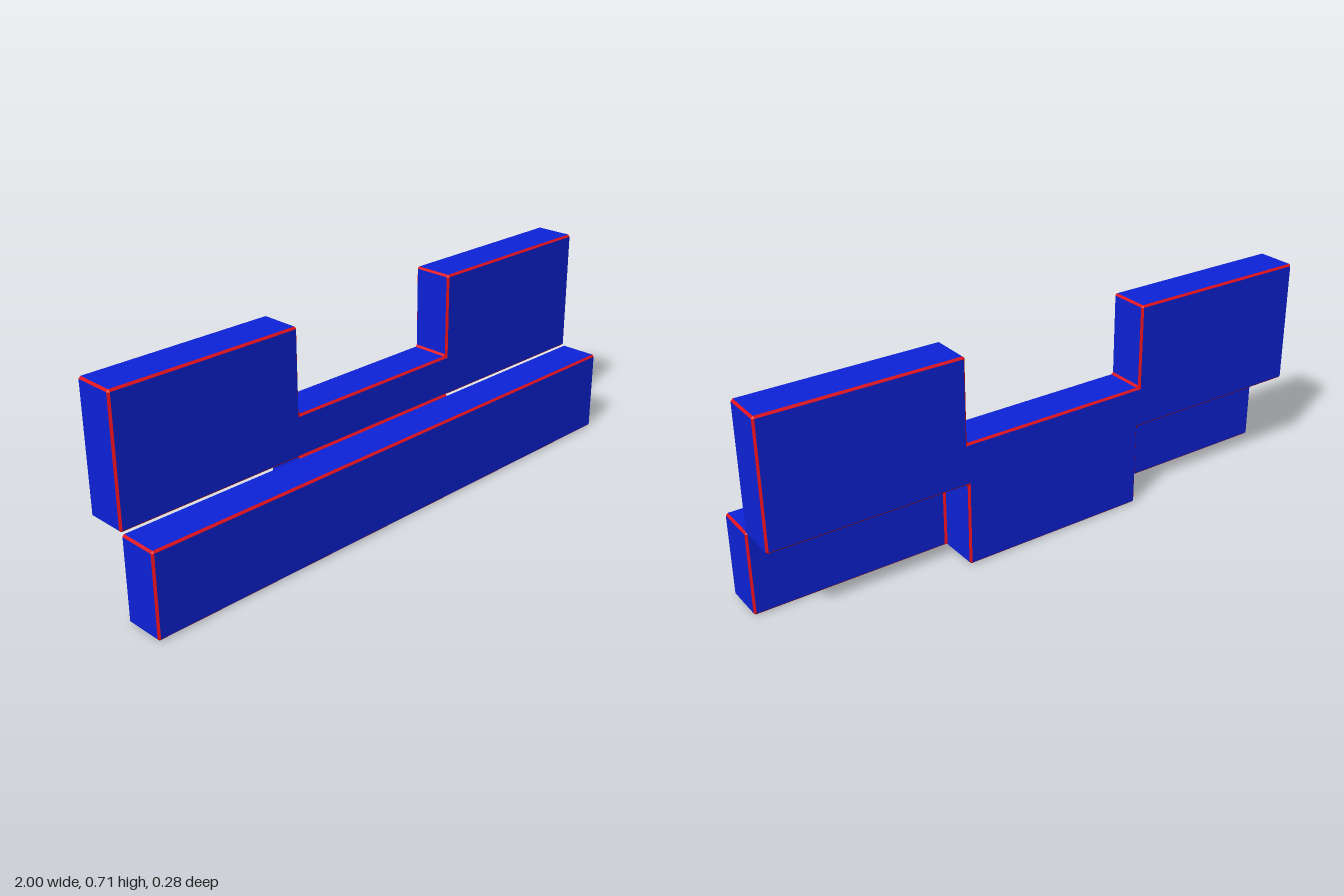
import * as THREE from 'three';

// Grid planes that cut the piece into cells
const GRID = [
  [-1, -0.333, 0.333, 1],
  [0, 0.286, 0.429, 0.714],
  [-0.142, 0, 0.142],
];
const BEVEL = 0.0068;

// Front bar along the bottom; behind it a low centre block and two raised ends
function solid([x, y, z]) {
  if (x < 0 || x > 2 || y < 0 || y > 2) return false;
  if (z === 1) return y === 0;
  if (z === 0) return x === 1 ? y < 2 : y > 0;
  return false;
}

const step = (cell, axis, d) => cell.map((v, i) => (i === axis ? v + d : v));
const exposed = (cell, a, s) => solid(cell) && !solid(step(cell, a, s));

// Corner of a cell face, pulled away from every edge that gets a bevel
function faceCorner(cell, a, s, vertex) {
  const u = (a + 1) % 3, w = (a + 2) % 3;
  const du = vertex[u] > cell[u] ? 1 : -1, dw = vertex[w] > cell[w] ? 1 : -1;
  let su = 0, sw = 0, count = 0;
  for (const i of [0, 1]) {
    for (const j of [0, 1]) {
      if (!exposed(step(step(cell, u, i * du), w, j * dw), a, s)) continue;
      count++;
      su += i ? du : -du;
      sw += j ? dw : -dw;
    }
  }
  // Two faces that only touch at the corner are bevelled separately
  if (count === 2 && su === 0 && sw === 0) { su = -du; sw = -dw; }
  const p = vertex.map((v, i) => GRID[i][v]);
  p[u] += BEVEL * Math.sign(su);
  p[w] += BEVEL * Math.sign(sw);
  return p;
}

// Lattice corners of a face, counter-clockwise from outside
function faceVertices(cell, a, s) {
  const u = (a + 1) % 3, w = (a + 2) % 3;
  const list = [[0, 0], [1, 0], [1, 1], [0, 1]].map(([i, j]) => {
    const v = step(step(cell, u, i), w, j);
    v[a] += s > 0 ? 1 : 0;
    return v;
  });
  return s > 0 ? list : list.reverse();
}

function polygonMesh(name, polygons, color) {
  const pos = [];
  for (const p of polygons) {
    for (let i = 1; i < p.length - 1; i++) pos.push(...p[0], ...p[i], ...p[i + 1]);
  }
  const geometry = new THREE.BufferGeometry();
  geometry.setAttribute('position', new THREE.Float32BufferAttribute(pos, 3));
  geometry.computeVertexNormals();
  const mesh = new THREE.Mesh(geometry, new THREE.MeshStandardMaterial({ color }));
  mesh.name = name;
  return mesh;
}

export function createModel() {
  const faces = [], bevels = [];
  const corners = new Map(); // per lattice vertex: links around its corner patch

  const link = (vertex, fromKey, from, toKey) => {
    const id = vertex.join();
    if (!corners.has(id)) corners.set(id, new Map());
    corners.get(id).set(fromKey + from.join(), { point: from, next: toKey });
  };

  for (let x = 0; x < 3; x++) for (let y = 0; y < 3; y++) for (let z = 0; z < 2; z++) {
    const cell = [x, y, z];
    for (let a = 0; a < 3; a++) for (const s of [-1, 1]) {
      if (!exposed(cell, a, s)) continue;
      const verts = faceVertices(cell, a, s);
      const pts = verts.map((v) => faceCorner(cell, a, s, v));
      faces.push(pts);

      // Bevel strip along each edge that turns
      for (let i = 0; i < 4; i++) {
        const k = (i + 1) % 4, v0 = verts[i], v1 = verts[k];
        const t = [0, 1, 2].find((n) => n !== a && v0[n] === v1[n]);
        const d = v0[t] > cell[t] ? 1 : -1;
        const next = step(cell, t, d), over = step(next, a, s);
        if (solid(next) && !solid(over)) continue; // flat
        if (t < a) continue; // made from the other face
        const [other, sign] = solid(next) ? [over, -d] : [cell, d];
        const p0 = pts[i], p1 = pts[k];
        const q0 = faceCorner(other, t, sign, v0), q1 = faceCorner(other, t, sign, v1);
        bevels.push([p1, p0, q0, q1]);
        const pk = `${a}${s}:`, qk = `${t}${sign}:`;
        link(v0, qk, q0, pk + p0.join());
        link(v1, pk, p1, qk + q1.join());
      }
    }
  }

  // Corner patches where bevels meet
  for (const links of corners.values()) {
    const used = new Set();
    for (const start of links.keys()) {
      const loop = [];
      let key = start;
      while (links.has(key) && !used.has(key)) {
        used.add(key);
        loop.push(links.get(key).point);
        key = links.get(key).next;
      }
      if (loop.length < 3) continue;
      const mid = [0, 1, 2].map((n) => loop.reduce((sum, p) => sum + p[n], 0) / loop.length);
      loop.forEach((p, i) => bevels.push([mid, p, loop[(i + 1) % loop.length]]));
    }
  }

  const group = new THREE.Group();
  group.name = 'puzzlePiece';
  group.add(polygonMesh('blockFaces', faces, 0x0c22d8));
  group.add(polygonMesh('bevelledEdges', bevels, 0xe0101c));
  return group;
}
